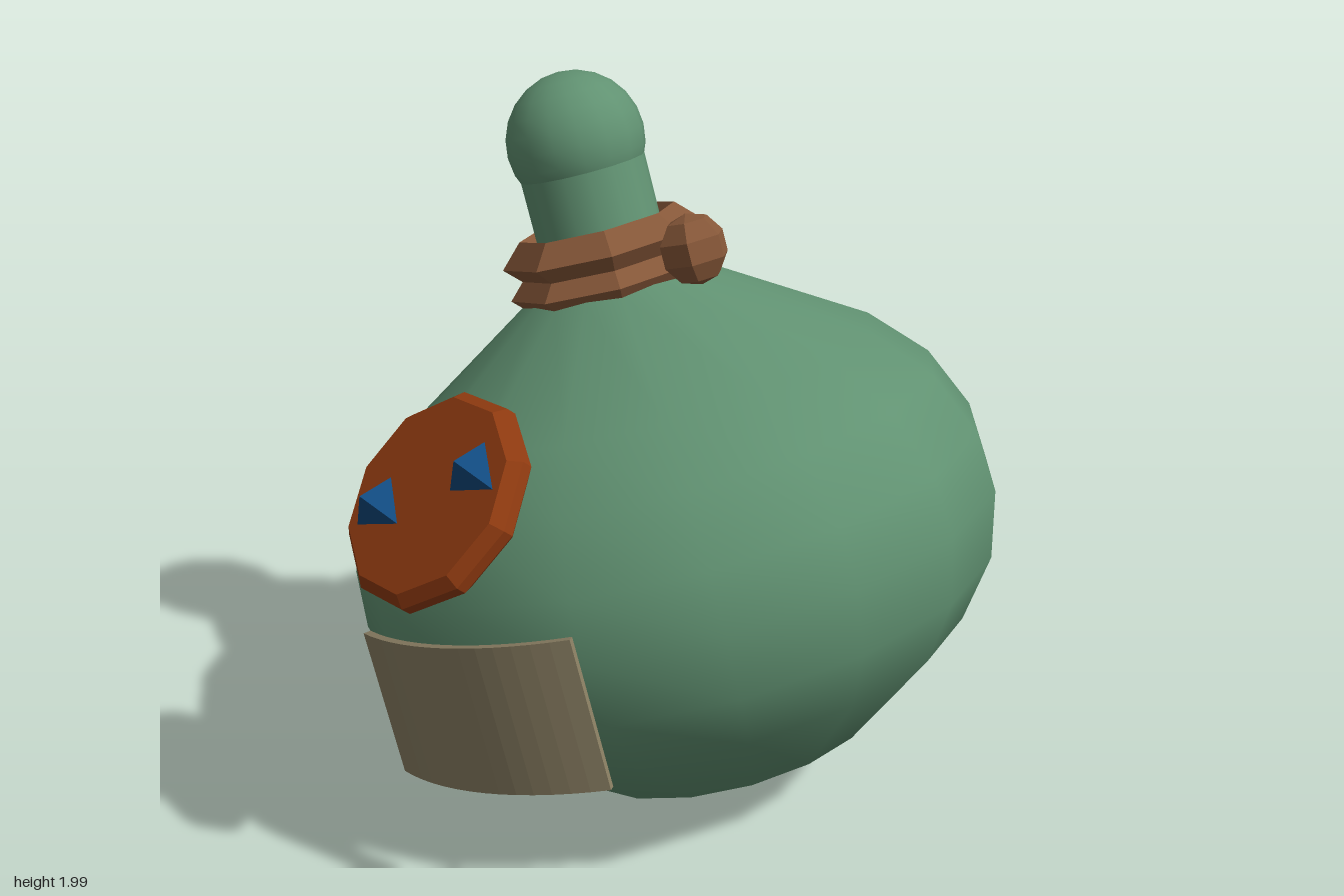
import * as THREE from 'three';

const material = (name, color, flatShading = false) => {
  const m = new THREE.MeshStandardMaterial({ color, flatShading });
  m.name = name;
  return m;
};

export function createModel() {
  const green = material('greenGlass', 0x619272);
  const brown = material('brownCord', 0x875839, true);
  const red = material('rustWax', 0x8f3a10, true);
  const blue = material('blueStud', 0x10497e, true);
  const tan = material('tanPaper', 0x8a7f63, true);

  const model = new THREE.Group();
  const add = (parent, name, geometry, mat, x = 0, y = 0, z = 0) => {
    const mesh = new THREE.Mesh(geometry, mat);
    mesh.name = name;
    mesh.position.set(x, y, z);
    parent.add(mesh);
    return mesh;
  };

  // Everything leans together with the flask
  const flask = new THREE.Group();
  flask.name = 'flask';
  flask.position.set(0.185, 0.137, -0.075);
  flask.rotation.z = 0.309;
  model.add(flask);

  // Round belly
  const profile = [
    [0, 0], [0.435, 0], [0.745, 0.242], [0.86, 0.405], [0.91, 0.59],
    [0.897, 0.755], [0.815, 0.935], [0.672, 1.085], [0.25, 1.35], [0.165, 1.4],
  ].map(([r, h]) => new THREE.Vector2(r, h));
  add(flask, 'belly', new THREE.LatheGeometry(profile, 16), green);

  // Neck and rounded stopper
  add(flask, 'neck', new THREE.CylinderGeometry(0.173, 0.173, 0.42, 16), green, 0, 1.55);
  add(flask, 'stopper', new THREE.SphereGeometry(0.19, 16, 12), green, 0, 1.753);

  // Two cord loops with a diamond cross-section, and their knot
  [1.375, 1.463].forEach((h, i) => {
    const loop = new THREE.TorusGeometry(0.219, 0.063, 4, 8).rotateX(Math.PI / 2);
    add(flask, i ? 'upperCord' : 'lowerCord', loop, brown, 0, h);
  });
  add(flask, 'knot', new THREE.SphereGeometry(0.097, 6, 5), brown, 0.31, 1.418);

  // Wax seal: bevelled disc lying on the shoulder
  const seal = new THREE.Group();
  seal.name = 'seal';
  seal.position.set(0, 1.025, 0.835);
  seal.rotation.x = 0.82;
  flask.add(seal);
  const rim = [[0, -0.05], [0.25, -0.05], [0.293, -0.01], [0.293, 0.02], [0.265, 0.05], [0, 0.05]]
    .map(([r, h]) => new THREE.Vector2(r, h));
  add(seal, 'waxDisc', new THREE.LatheGeometry(rim, 10), red);

  // Pointed studs on the seal
  [[-0.146, 0.035], [0.158, -0.05]].forEach(([x, z], i) => {
    const stud = new THREE.ConeGeometry(0.085, 0.08, 3).rotateY(Math.PI);
    add(seal, i ? 'leftStud' : 'rightStud', stud, blue, x, 0.09, z);
  });

  // Curved paper label, an arc strip standing in front of the belly
  const outer = 0.96, inner = 0.94, half = 0.395;
  const down = -Math.PI / 2;
  const arc = new THREE.Shape();
  arc.absarc(0, 0, outer, down - half, down + half, false);
  arc.absarc(0, 0, inner, down + half, down - half, true);
  arc.closePath();
  const strip = new THREE.ExtrudeGeometry(arc, { depth: 0.4, bevelEnabled: false, curveSegments: 7 });
  strip.rotateX(-Math.PI / 2);
  add(flask, 'label', strip, tan, 0, 0.282);

  return model;
}
